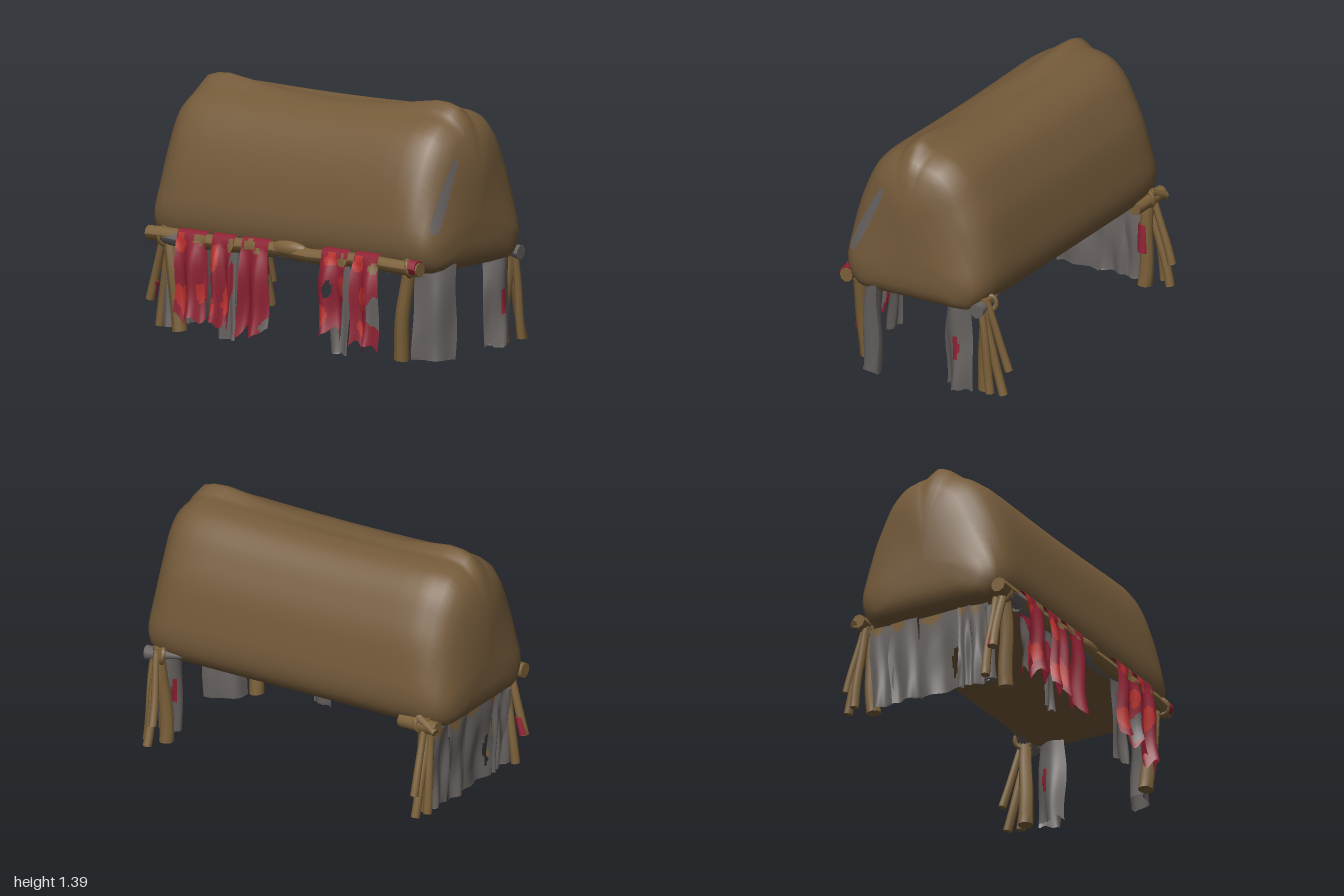
import * as THREE from 'three';

const paint = (name, color, side = THREE.FrontSide) => {
  const m = new THREE.MeshStandardMaterial({ color, side });
  m.name = name;
  return m;
};

export function createModel() {
  const hut = new THREE.Group();
  hut.name = 'hut';
  const hide = paint('hide brown', 0x745a3a);
  const wood = paint('wood', 0x7b6039, THREE.DoubleSide);
  const grey = paint('worn grey', 0x676260, THREE.DoubleSide);
  const red = paint('dark red', 0x8f2133, THREE.DoubleSide);
  const bright = paint('bright red', 0xbb2f2c, THREE.DoubleSide);

  const add = (name, geo, mat) => {
    const m = new THREE.Mesh(geo, mat);
    m.name = name;
    hut.add(m);
    return m;
  };
  const build = (pos, idx) => {
    const g = new THREE.BufferGeometry();
    g.setAttribute('position', new THREE.Float32BufferAttribute(pos, 3));
    g.setIndex(idx);
    g.computeVertexNormals();
    return g;
  };

  // Roof: closed outline (z, y, share of the ridge lift) swept along x
  const outline = new THREE.CatmullRomCurve3([
    [0, .48, 0], [.25, .48, 0], [.38, .49, 0], [.44, .56, 0], [.46, .66, 0], [.445, .8, 0],
    [.405, .98, 0], [.35, 1.12, 0], [.28, 1.225, 0], [.2, 1.285, 0], [.14, 1.31, .05], [.1, 1.32, .45],
    [.03, 1.325, 1], [-.02, 1.325, .65], [-.06, 1.328, .2], [-.12, 1.33, 0], [-.2, 1.305, 0],
    [-.29, 1.225, 0], [-.355, 1.11, 0], [-.41, .98, 0], [-.445, .8, 0], [-.46, .66, 0],
    [-.44, .56, 0], [-.38, .49, 0], [-.25, .48, 0],
  ].map((p) => new THREE.Vector3(...p)), true, 'centripetal').getPoints(72).slice(0, 72);
  // x, width scale, shoulder height, ridge lift, underside
  const half = [
    [0, 1, 1.31, 0, .48], [.25, 1, 1.312, .008, .48], [.45, 1, 1.316, .022, .48], [.6, 1, 1.32, .042, .48],
    [.72, .998, 1.32, .06, .48], [.8, .988, 1.315, .06, .48], [.86, .968, 1.3, .058, .48],
    [.92, .925, 1.255, .035, .485], [.955, .86, 1.2, .02, .5], [.98, .76, 1.115, .01, .53],
    [.994, .62, 1.03, 0, .57], [1, .42, .93, 0, .63],
  ];
  const rings = [...half.slice(1).reverse().map(([x, ...r]) => [-x, ...r]), ...half];
  const n = outline.length, pos = [], idx = [];
  // The ends narrow faster towards the top, which slants the corners
  for (const [x, w, top, lift, low] of rings)
    for (const p of outline) {
      const taper = 1 + 1.9 * THREE.MathUtils.smoothstep(p.y, .6, 1.15);
      pos.push(x, low + (p.y - .48) / .84 * (top - low) + p.z * lift, p.x * w ** taper);
    }
  for (let i = 0; i < rings.length - 1; i++)
    for (let j = 0; j < n; j++) {
      const a = i * n + j, b = i * n + (j + 1) % n;
      idx.push(a, a + n, b, a + n, b + n, b);
    }
  const last = (rings.length - 1) * n, hub = rings.length * n;
  pos.push(-1, .76, 0, 1, .76, 0);
  for (let j = 0; j < n; j++) {
    const k = (j + 1) % n;
    idx.push(hub, j, k, hub + 1, last + k, last + j);
  }
  const roof = add('roof', build(pos, idx), hide);

  // Worn streak laid on the right end of the roof
  const ray = new THREE.Raycaster(), sp = [], si = [];
  for (let i = 0; i <= 16; i++) {
    const t = i / 16, w = .004 + .026 * Math.sqrt(Math.sin(Math.PI * (.06 + .9 * t ** .7)));
    for (let k = 0; k <= 2; k++) {
      const z = .37 - .195 * t + (k - 1) * w, y = .71 + .39 * t + (k - 1) * w * .3;
      ray.set(new THREE.Vector3(2, y, z), new THREE.Vector3(-1, 0, 0));
      const hit = ray.intersectObject(roof)[0];
      sp.push((hit ? hit.point.x : .93) + .006, y, z + .004);
      if (i < 16 && k < 2) {
        const a = i * 3 + k;
        si.push(a, a + 3, a + 1, a + 1, a + 3, a + 4);
      }
    }
  }
  add('roofStreak', build(sp, si), grey);

  // Slightly crooked pole between two points
  const pole = (name, mat, p, q, r0, r1 = r0) => {
    const a = new THREE.Vector3(...p), d = new THREE.Vector3(...q).sub(a), len = d.length();
    const g = new THREE.CylinderGeometry(r1, r0, len, 9, 10);
    const v = g.attributes.position;
    for (let i = 0; i < v.count; i++) {
      const t = v.getY(i) * 9 + p[0] * 7;
      v.setX(i, v.getX(i) + Math.sin(t) * r0 * .15);
      v.setZ(i, v.getZ(i) + Math.cos(t * 1.3) * r0 * .15);
    }
    g.computeVertexNormals();
    const m = add(name, g, mat);
    m.position.copy(a).addScaledVector(d, .5);
    m.quaternion.setFromUnitVectors(new THREE.Vector3(0, 1, 0), d.normalize());
  };

  // Front beam, its grey inner side, wrapped bands and swelling
  pole('frontBeam', wood, [-.95, .53, .44], [.92, .525, .44], .043, .04);
  pole('beamLining', grey, [-.7, .521, .424], [.7, .521, .424], .04);
  pole('beamWrap', grey, [-.84, .525, .44], [-.72, .525, .44], .046);
  pole('beamWrap', red, [.86, .525, .44], [.91, .525, .44], .044);
  const knob = add('beamKnot', new THREE.SphereGeometry(1, 14, 10), wood);
  knob.scale.set(.13, .048, .046);
  knob.position.set(.02, .543, .44);
  // Back beam stubs
  pole('backBeam', wood, [-.95, .51, -.43], [-.7, .51, -.42], .04);
  pole('backBeam', grey, [.95, .51, -.42], [.7, .53, -.4], .042, .015);

  // Corner posts and splayed sticks
  pole('frontPost', wood, [.755, 0, .4], [.825, .57, .42], .043, .036);
  pole('frontPost', wood, [-.77, 0, .4], [-.84, .57, .42], .043, .036);
  pole('frontStick', wood, [-.96, .16, .42], [-.85, .58, .43], .026, .02);
  pole('frontStick', wood, [-.94, .01, .36], [-.87, .5, .38], .026, .02);
  pole('frontStick', grey, [-.87, .01, .36], [-.89, .45, .35], .035, .025);
  pole('stickStain', red, [-.958, .165, .414], [-.932, .265, .416], .024);
  pole('postStain', red, [-.824, .2, -.397], [-.838, .36, -.404], .036, .033);
  for (const s of [-1, 1]) {
    pole('backPost', wood, [s * .83, 0, -.4], [s * .86, .56, -.42], .042, .034);
    pole('backStick', wood, [s * .87, .01, -.54], [s * .88, .5, -.41], .026, .022);
    pole('backStick', wood, [s * (s < 0 ? .87 : .83), .14, -.55], [s * .87, .56, -.43], .024, .018);
    pole('backStick', wood, [s * .91, .02, -.48], [s * .9, .5, -.42], .026, .02);
    // Lashings where posts meet the beams
    for (const z of [.435, -.425]) {
      const knot = add('lashing', new THREE.TorusGeometry(.044, .014, 6, 14), wood);
      knot.position.set(s * .84, .52, z);
      knot.rotation.set(.3, Math.PI / 2 + s * .5, 0);
    }
  }
  pole('postPeg', wood, [-.95, .5, -.46], [-.83, .56, -.44], .022);

  // Ragged cloth hung from a to b (x, z); drape folds it over the beam, bow bulges it,
  // patches are ellipses of another material: [material, u, v, radius u, radius v]
  const mats = [grey, red, bright, wood];
  const cloth = (name, a, b, top, low, { flare = 0, bow = 0, seed = 1, drape = false, hole, base = 0, patches = [] } = {}) => {
    const cells = [[], [], [], []], U = 20, V = 36, W = U + 1, F = 6, p = [];
    const dx = b[0] - a[0], dz = b[1] - a[1], len = Math.hypot(dx, dz);
    const fold = [[-.045, -.06], [-.042, -.035], [-.03, -.012], [0, 0], [.03, -.005], [.044, -.02], [.052, -.05]];
    const inside = (u, v, [cu, cv, ru, rv]) => ((u - cu) / ru) ** 2 + ((v - cv) / rv) ** 2 < 1;
    for (let j = 0; j <= V; j++)
      for (let i = 0; i <= U; i++) {
        const u = i / U, v = j / V;
        const rag = Math.abs(Math.sin(u * 5 + seed * 2.1)) * .06 + Math.sin(u * 17 + seed) * .012;
        let y = top + (low + rag - top) * v;
        let out = flare * v + bow * Math.sin(Math.PI * u) + .014 * v * Math.sin(u * 9 + seed * 3)
          + .006 * Math.sin(v * 7 + u * 4 + seed);
        if (drape) {
          const f = fold[Math.min(j, F)], t = Math.max(0, (j - F) / (V - F));
          y = top + f[1] + (low + rag - top - f[1]) * t;
          out = f[0] + flare * t + Math.sqrt(t) * .035 * Math.sin(u * 8 + seed * 3) + .012 * Math.sin(t * 6);
        }
        const s = u + (u - .5) * .05 * Math.sin(v * 6 + seed) + .03 * v * Math.sin(v * 5 + seed * 2);
        p.push(a[0] + dx * s - dz / len * out, Math.max(0, y), a[1] + dz * s + dx / len * out);
        const cu = (i + .5) / U, cv = (j + .5) / V;
        if (i < U && j < V && !(hole && inside(cu, cv, hole))) {
          const k = j * W + i, patch = patches.find((q) => inside(cu, cv, q.slice(1)));
          cells[patch ? patch[0] : base].push(k, k + W, k + 1, k + 1, k + W, k + W + 1);
        }
      }
    const g = build(p, cells.flat());
    let start = 0;
    cells.forEach((c, m) => {
      g.addGroup(start, c.length, m);
      start += c.length;
    });
    add(name, g, mats);
  };

  // Red rags over the front beam: left, right, bottom, patches, hole
  [
    [-.72, -.53, .07, [[2, .15, .22, .2, .08], [2, .25, .78, .28, .13], [3, .85, .17, .25, .04], [2, .9, .7, .12, .1]]],
    [-.48, -.33, .06, [[2, .2, .33, .2, .14], [2, .72, .78, .25, .16], [2, .15, .85, .15, .1], [3, .85, .2, .15, .06]]],
    [-.28, -.09, .03, [[3, .3, .16, .22, .04], [3, .62, .2, .12, .03], [0, .95, .95, .15, .06]]],
    [.27, .46, .09, [[2, .18, .8, .2, .13], [2, .4, .2, .25, .06], [3, .8, .2, .2, .05], [0, .95, .8, .22, .16],
      [2, .85, .45, .14, .12]], [.38, .52, .12, .1]],
    [.5, .67, .03, [[2, .2, .2, .22, .07], [2, .45, .52, .2, .12], [3, .85, .22, .2, .05], [0, .95, .66, .26, .16],
      [2, .3, .85, .16, .08]]],
  ].forEach(([l, r, low, patches, hole], i) =>
    cloth('frontRag', [l, .44], [r, .44], .585, low, { flare: .04, seed: i + 1, drape: true, base: 1, patches, hole }));
  // Second layer of rags behind them
  cloth('innerRag', [-.7, .43], [-.55, .43], .5, .09, { seed: 3, flare: .03, base: 1, patches: [[0, .3, .6, .3, .5]] });
  cloth('innerRag', [-.46, .43], [-.35, .43], .5, -.06, { seed: 2, flare: .03, patches: [[1, .6, .35, .3, .2]] });
  cloth('innerRag', [.31, .43], [.44, .43], .5, -.06, { seed: 4, flare: .03 });
  // Grey rags closing the left end, one of them with a tear
  [[.35, .24, 0], [.25, .17, 0], [.19, -.09, [.84, .58, .07, .18]], [-.08, -.26, 0], [-.24, -.39, 0]].forEach(
    ([f, k, hole], i) => {
      const x = -.9 - .015 * (i % 2);
      cloth('endRag', [x, k], [x, f], .47, -.07, { seed: i + 2, flare: -.02, hole, patches: [[3, .3, 0, .25, .1]] });
    });
  // Doubled grey rags at the right end
  for (const bow of [-.05, .05]) {
    cloth('cornerRag', [.8, .35], [.985, .2], .53, -.07, { seed: 3, bow });
    cloth('cornerRag', [.87, -.18], [.91, -.36], .5, -.04, { seed: 5, bow, patches: [[1, .58, .5, .1, .15]] });
  }

  return hut;
}
